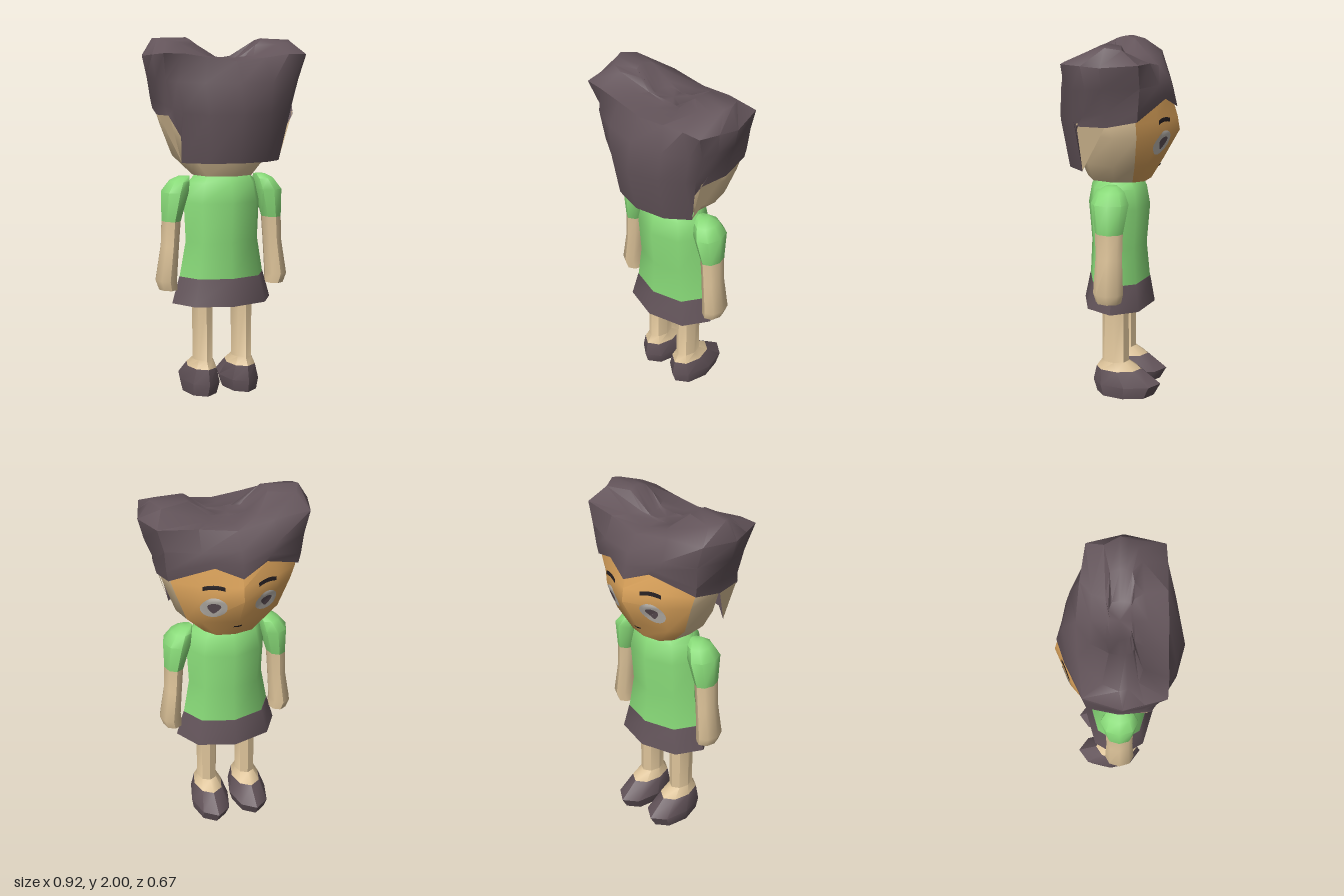
import * as THREE from 'three';
import { toCreasedNormals } from 'three/addons/utils/BufferGeometryUtils.js';

const mat = (name, color, side = THREE.FrontSide) => {
  const m = new THREE.MeshStandardMaterial({ color, side });
  m.name = name;
  return m;
};

// Closed elliptical cross-section
const oval = (cx, y, cz, rx, rz, n = 8) =>
  Array.from({ length: n }, (_, i) => {
    const a = (i / n) * Math.PI * 2;
    return [cx + Math.cos(a) * rx, y, cz + Math.sin(a) * rz];
  });

// Half section (front centre, round the left side, to back centre) made whole
const mirrored = (half) => [
  ...half,
  ...half.slice(1, -1).reverse().map(([x, y, z]) => [-x, y, z]),
];

// Skin over a stack of cross-sections, listed bottom to top
function loft(rings, { closed = true, bottom = false, top = false, topCentre = null, crease = 0.9 } = {}) {
  const pos = [];
  const tri = (a, b, c) => pos.push(...a, ...b, ...c);
  const n = rings[0].length;
  for (let r = 0; r + 1 < rings.length; r++) {
    for (let i = 0; i < (closed ? n : n - 1); i++) {
      const j = (i + 1) % n;
      const [a, b, c, d] = [rings[r][i], rings[r][j], rings[r + 1][i], rings[r + 1][j]];
      tri(a, c, b);
      tri(b, c, d);
    }
  }
  const cap = (ring, up, centre) => {
    const m = centre || [0, 1, 2].map((k) => ring.reduce((s, p) => s + p[k], 0) / n);
    ring.forEach((p, i) => {
      const q = ring[(i + 1) % n];
      up ? tri(m, q, p) : tri(m, p, q);
    });
  };
  if (bottom) cap(rings[0], false);
  if (top) cap(rings[rings.length - 1], true, topCentre);
  const g = new THREE.BufferGeometry();
  g.setAttribute('position', new THREE.Float32BufferAttribute(pos, 3));
  return toCreasedNormals(g, crease);
}

export function createModel() {
  const model = new THREE.Group();
  const skin = mat('skin', 0xdec49a);
  const flapSkin = mat('skin flap', 0xdec49a, THREE.DoubleSide);
  const faceTan = mat('face tan', 0xdea55c);
  const hairMat = mat('dark hair', 0x63545a, THREE.DoubleSide);
  const cloth = mat('dark cloth', 0x63545a);
  const green = mat('green shirt', 0x88da78);
  const white = mat('eye white', 0xc6c0b8, THREE.DoubleSide);
  const black = mat('brow black', 0x241e20, THREE.DoubleSide);

  const add = (name, geo, material, parent = model) => {
    const m = new THREE.Mesh(geo, material);
    m.name = name;
    parent.add(m);
    return m;
  };

  // Torso and skirt
  add('shirt', loft([
    oval(0, 0.68, -0.005, 0.25, 0.172),
    oval(0, 0.88, 0, 0.215, 0.157),
    oval(0, 1.1, 0, 0.225, 0.175),
    oval(0, 1.21, 0, 0.2, 0.155),
    oval(0, 1.25, 0, 0.165, 0.125),
  ], { top: true }), green);
  add('skirt', loft([
    oval(0, 0.53, -0.003, 0.295, 0.203),
    oval(0, 0.68, -0.005, 0.252, 0.174),
  ], { bottom: true, top: true }), cloth);

  // Arms and legs
  for (const s of [1, -1]) {
    const side = s > 0 ? 'left' : 'right';
    const limb = new THREE.Group();
    limb.name = side + 'Limbs';
    model.add(limb);
    add(side + 'Sleeve', loft([
      oval(s * 0.3, 1.0, 0, 0.055, 0.076),
      oval(s * 0.277, 1.16, 0, 0.08, 0.103),
      oval(s * 0.25, 1.22, 0, 0.06, 0.075),
      oval(s * 0.225, 1.245, 0, 0.035, 0.035),
    ], { top: true }), green, limb);
    add(side + 'Arm', loft([
      oval(s * 0.318, 0.615, 0, 0.054, 0.07),
      oval(s * 0.33, 0.67, 0, 0.062, 0.083),
      oval(s * 0.308, 0.86, 0, 0.052, 0.073),
      oval(s * 0.3, 1.0, 0, 0.055, 0.076),
    ], { bottom: true }), skin, limb);
    add(side + 'Leg', loft([
      oval(s * 0.118, 0.155, -0.02, 0.083, 0.13),
      oval(s * 0.118, 0.2, 0, 0.058, 0.078),
      oval(s * 0.118, 0.55, 0, 0.061, 0.075),
    ], { crease: 0.7 }), skin, limb);
    add(side + 'Shoe', loft([
      oval(s * 0.122, 0, -0.058, 0.096, 0.165),
      oval(s * 0.118, 0.07, -0.066, 0.112, 0.195),
      oval(s * 0.118, 0.155, -0.02, 0.083, 0.13),
    ], { bottom: true, crease: 0.7 }), cloth, limb);
  }

  // Head: half sections, first three points belong to the face
  const headHalves = [
    [1.25, [[0, -0.18], [0.1, -0.16], [0.15, -0.1], [0.17, 0], [0.13, 0.12], [0, 0.18]]],
    [1.36, [[0, -0.245], [0.19, -0.19], [0.255, -0.13], [0.285, -0.02], [0.22, 0.13], [0, 0.23]]],
    [1.525, [[0, -0.335], [0.205, -0.245], [0.315, -0.15], [0.345, -0.03], [0.27, 0.13], [0, 0.26]]],
    [1.6, [[0, -0.322], [0.21, -0.24], [0.34, -0.15], [0.37, 0], [0.29, 0.13], [0, 0.27]]],
    [1.72, [[0, -0.285], [0.19, -0.23], [0.33, -0.145], [0.35, 0], [0.28, 0.12], [0, 0.25]]],
  ].map(([y, pts]) => pts.map(([x, z]) => [x, y, z]));
  const headRings = headHalves.map(mirrored);
  const face = add('face', loft(headRings.map((r) => [r[8], r[9], r[0], r[1], r[2]]), { closed: false, crease: 0.7 }), faceTan);
  add('head', loft(headRings.map((r) => r.slice(2, 9)), { closed: false }), skin);
  add('chin', loft([headRings[0], headRings[0]], { bottom: true }), skin);

  // Cheek flaps between the hair and the head
  for (const s of [1, -1]) {
    const g = new THREE.BufferGeometry();
    g.setAttribute('position', new THREE.Float32BufferAttribute(
      [s * 0.375, 1.6, 0, s * 0.358, 1.6, 0.16, s * 0.283, 1.335, 0.145], 3));
    g.computeVertexNormals();
    add(s > 0 ? 'leftCheekFlap' : 'rightCheekFlap', g, flapSkin);
  }

  // Hair: hairline, sides, crown rim, then the two humps and the dip between
  const hairline = [[0, 1.65, -0.32], [0.14, 1.71, -0.275], [0.355, 1.615, -0.16], [0.377, 1.585, 0], [0.36, 1.585, 0.16],
    [0.29, 1.47, 0.16], [0.283, 1.33, 0.145], [0.17, 1.33, 0.24], [0, 1.33, 0.28]];
  const temples = [[0, 1.72, -0.303], [0.16, 1.74, -0.272], [0.365, 1.67, -0.165], [0.385, 1.66, 0], [0.37, 1.64, 0.12],
    [0.34, 1.62, 0.18], [0.3, 1.6, 0.215], [0.175, 1.59, 0.287], [0, 1.59, 0.333]];
  const upper = [[0, 1.79, -0.285], [0.2, 1.79, -0.25], [0.375, 1.79, -0.175], [0.435, 1.79, 0.01], [0.41, 1.78, 0.1],
    [0.38, 1.77, 0.18], [0.33, 1.76, 0.225], [0.19, 1.755, 0.28], [0, 1.755, 0.31]];
  const rim = [[0, 1.87, -0.215], [0.2, 1.9, -0.2], [0.406, 1.91, -0.173], [0.462, 1.9, 0.017], [0.435, 1.905, 0.12],
    [0.406, 1.91, 0.228], [0.3, 1.91, 0.235], [0.16, 1.89, 0.235], [0, 1.87, 0.24]];
  const crown = [[0, 1.88, -0.14], [0.13, 1.91, -0.14], [0.36, 1.98, -0.08], [0.4, 1.995, 0], [0.385, 1.99, 0.04],
    [0.35, 1.975, 0.09], [0.28, 1.965, 0.11], [0.14, 1.9, 0.12], [0, 1.88, 0.14]];
  const humps = [[0, 1.885, -0.06], [0.11, 1.91, -0.07], [0.21, 1.99, -0.05], [0.225, 2, 0], [0.22, 2, 0.03],
    [0.21, 1.99, 0.06], [0.17, 1.96, 0.07], [0.11, 1.9, 0.07], [0, 1.885, 0.07]];
  const dip = humps.map(([x, , z]) => [x * 0.45, 1.893, z * 0.8]);
  add('hair', loft([hairline, temples, upper, rim, crown, humps, dip].map(mirrored),
    { top: true, topCentre: [0, 1.89, 0] }), hairMat);

  // Painted details laid on the face, lifted slightly off it
  face.updateMatrixWorld(true);
  const ray = new THREE.Raycaster();
  const decal = (name, geo, cx, cy, lift, material) => {
    const p = geo.attributes.position;
    for (let i = 0; i < p.count; i++) {
      const x = cx - p.getX(i), y = cy + p.getY(i);
      ray.set(new THREE.Vector3(x, y, -2), new THREE.Vector3(0, 0, 1));
      const hit = ray.intersectObject(face)[0];
      p.setXYZ(i, x, y, (hit ? hit.point.z : -0.24) - lift);
    }
    geo.computeVertexNormals();
    add(name, geo, material);
  };
  for (const s of [1, -1]) {
    const side = s > 0 ? 'left' : 'right';
    decal(side + 'Eye', new THREE.RingGeometry(0.001, 0.066, 20, 5), s * 0.143, 1.475, 0.005, white);
    // Pupil narrows towards the bottom
    const pupil = new THREE.RingGeometry(0.001, 0.035, 16, 3);
    const p = pupil.attributes.position;
    for (let i = 0; i < p.count; i++) p.setX(i, p.getX(i) * (0.85 + p.getY(i) * 14));
    decal(side + 'Pupil', pupil, s * 0.143, 1.473, 0.009, hairMat);
    // Brow arches gently
    const brow = new THREE.PlaneGeometry(0.11, 0.022, 8, 2);
    const b = brow.attributes.position;
    for (let i = 0; i < b.count; i++) b.setY(i, b.getY(i) - b.getX(i) ** 2 * 3);
    decal(side + 'Brow', brow, s * 0.145, 1.6, 0.006, black);
  }
  decal('mouth', new THREE.PlaneGeometry(0.045, 0.012, 4, 1), 0, 1.325, 0.005, black);

  return model;
}
